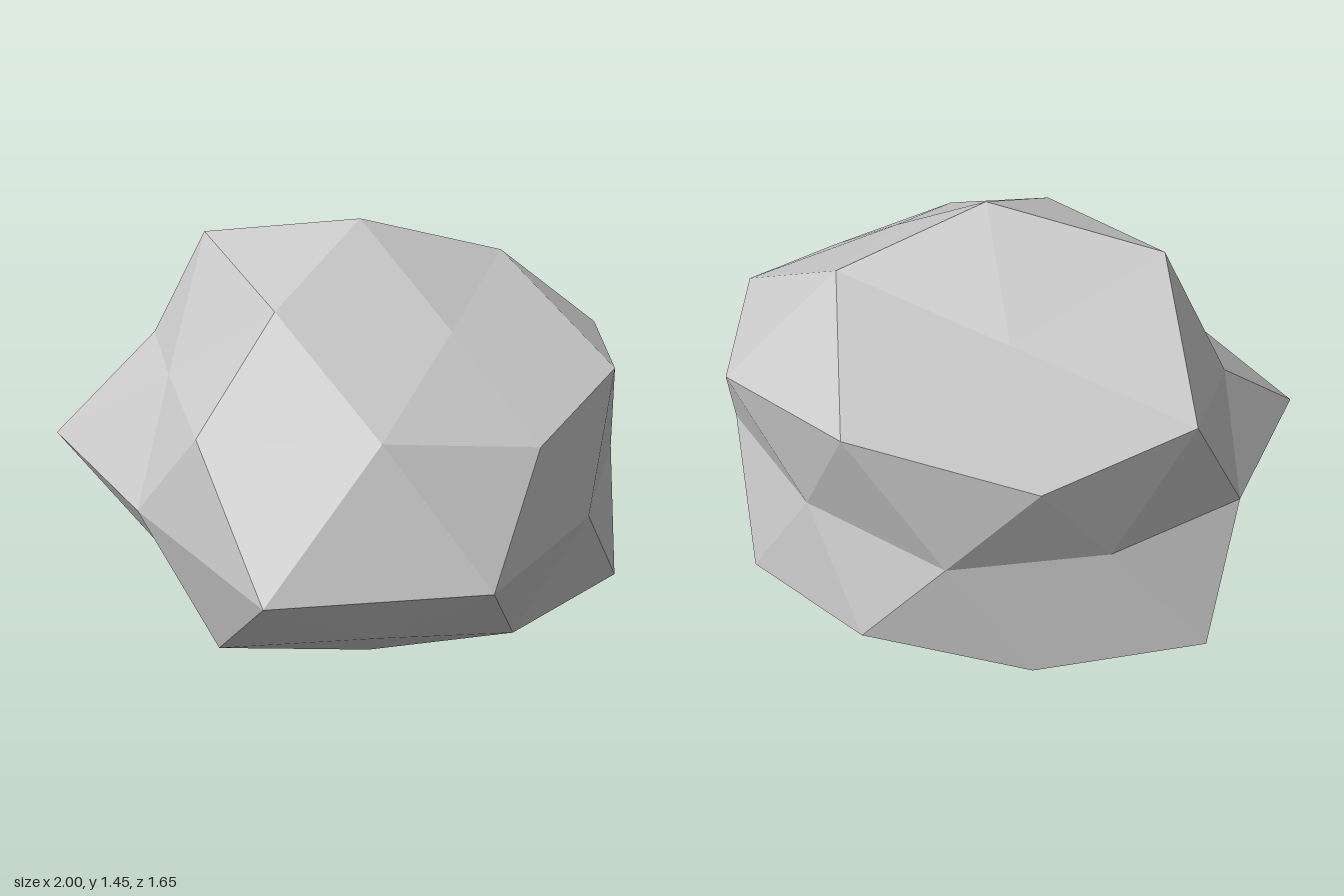
import * as THREE from 'three';
import { ConvexGeometry } from 'three/addons/geometries/ConvexGeometry.js';

// Rings of a once-divided icosphere: height, first angle in degrees,
// and the reach of each corner from the centre, going round from +x to +z.
const RINGS = [
  { y: 1, start: 0, reach: [1.08] },
  { y: 0.851, start: 0, reach: [0.87, 0.98, 1.11, 0.848, 1.04] },
  { y: 0.526, start: 36, reach: [1.02, 0.84, 1.04, 1.122, 1.027] },
  { y: 0.447, start: 0, reach: [0.95, 1.05, 0.91, 1.035, 1.075] },
  { y: 0, start: 18, reach: [1.04, 1.16, 0.963, 1.148, 0.938, 0.836, 0.886, 0.853, 0.93, 0.885] },
  { y: -0.447, start: 36, reach: [0.89, 0.9, 1.133, 1.045, 1.055] },
  { y: -0.526, start: 0, reach: [0.932, 1.042, 1.0, 1.035, 1.13] },
  { y: -0.851, start: 36, reach: [0.9, 0.86, 1.09, 0.85, 0.89] },
  { y: -1, start: 0, reach: [0.845] },
];

const SQUASH = new THREE.Vector3(1, 0.72, 0.88);
const CENTRE = new THREE.Vector3(0.01, 0.67, -0.02);

function boulderGeometry() {
  const corners = [];
  for (const { y, start, reach } of RINGS) {
    const radius = Math.sqrt(1 - y * y);
    reach.forEach((r, i) => {
      const a = THREE.MathUtils.degToRad(start + (360 / reach.length) * i);
      const dir = new THREE.Vector3(Math.cos(a) * radius, y, Math.sin(a) * radius);
      corners.push({ dir, point: dir.clone().multiplyScalar(r).multiply(SQUASH).add(CENTRE) });
    });
  }

  // The hull of the round ball gives the facets; each corner then moves to its own reach.
  const geometry = new ConvexGeometry(corners.map((c) => c.dir));
  const pos = geometry.attributes.position;
  const v = new THREE.Vector3();
  for (let i = 0; i < pos.count; i++) {
    v.fromBufferAttribute(pos, i);
    const { point } = corners.find((c) => c.dir.distanceTo(v) < 0.01);
    pos.setXYZ(i, point.x, point.y, point.z);
  }
  geometry.computeVertexNormals();
  return geometry;
}

export function createModel() {
  const stone = new THREE.MeshStandardMaterial({ color: 0xc7c7c7, flatShading: true });
  stone.name = 'stone grey';

  const boulder = new THREE.Mesh(boulderGeometry(), stone);
  boulder.name = 'boulder';

  const model = new THREE.Group();
  model.name = 'rock';
  model.add(boulder);
  return model;
}
